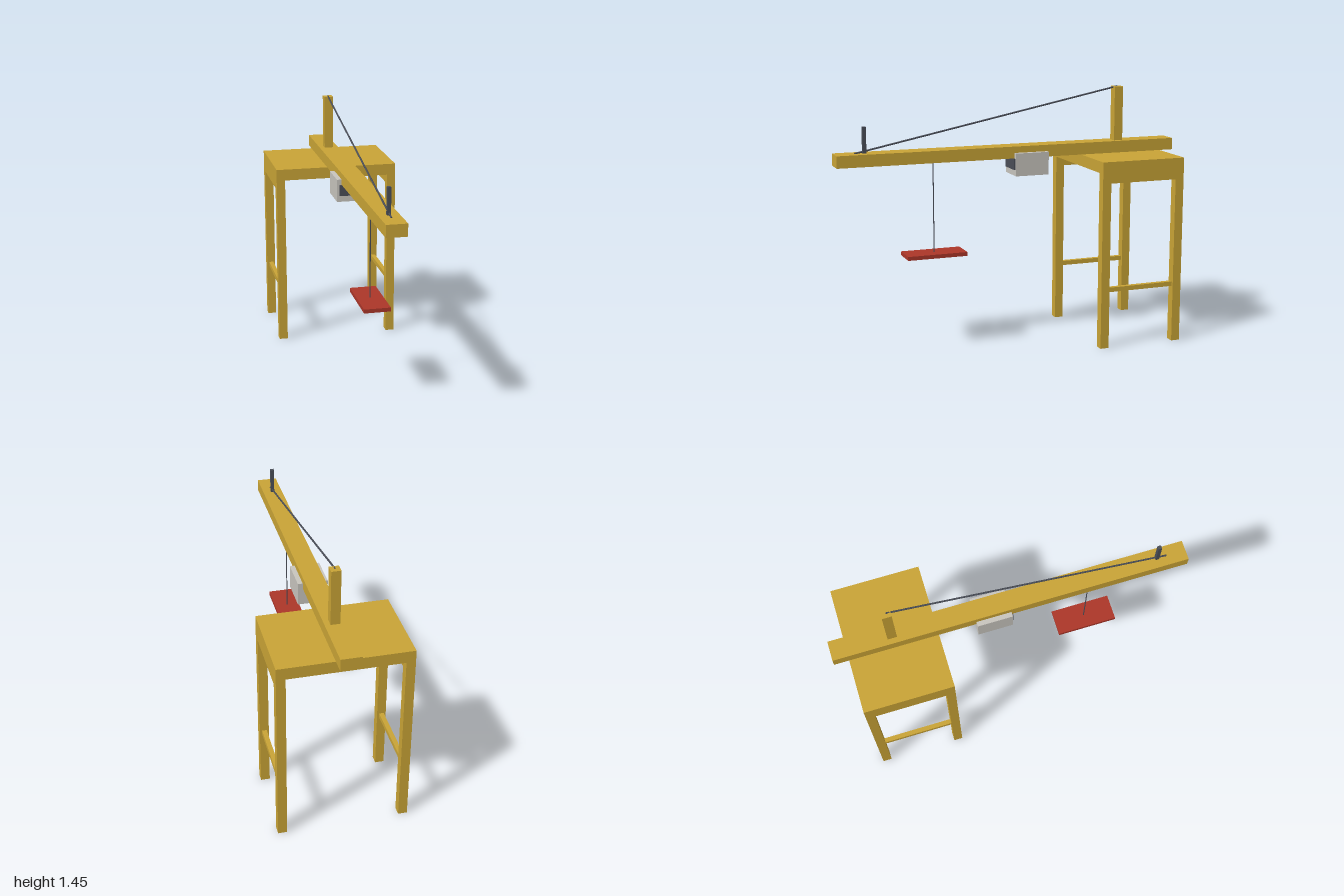
import * as THREE from 'three';

export function createModel() {
  const model = new THREE.Group();
  model.name = 'swingFrame';

  const material = (name, color) => {
    const m = new THREE.MeshStandardMaterial({ color });
    m.name = name;
    return m;
  };
  const wood = material('yellowWood', 0xc9a436);
  const steel = material('darkSteel', 0x4a4e58);
  const casing = material('paleGrey', 0xc8c5be);
  const red = material('redBoard', 0xac3629);

  // Box given by its extents on each axis
  const box = (name, mat, [x0, x1], [y0, y1], [z0, z1]) => {
    const mesh = new THREE.Mesh(new THREE.BoxGeometry(x1 - x0, y1 - y0, z1 - z0), mat);
    mesh.position.set((x0 + x1) / 2, (y0 + y1) / 2, (z0 + z1) / 2);
    mesh.name = name;
    model.add(mesh);
  };

  // Thin round line between two points
  const line = (name, mat, a, b, radius) => {
    const start = new THREE.Vector3(...a), end = new THREE.Vector3(...b);
    const dir = end.clone().sub(start);
    const mesh = new THREE.Mesh(new THREE.CylinderGeometry(radius, radius, dir.length(), 8), mat);
    mesh.position.copy(start).add(end).multiplyScalar(0.5);
    mesh.quaternion.setFromUnitVectors(new THREE.Vector3(0, 1, 0), dir.normalize());
    mesh.name = name;
    model.add(mesh);
  };

  // Table top, legs, side rails and rungs
  box('tableTop', wood, [-0.36, 0.36], [1.003, 1.069], [-0.917, -0.418]);
  for (const [side, s] of [['left', 1], ['right', -1]]) {
    const across = (a, b) => (s > 0 ? [a, b] : [-b, -a]);
    box(side + 'FrontLeg', wood, across(0.31, 0.36), [0, 1.003], [-0.468, -0.418]);
    box(side + 'BackLeg', wood, across(0.31, 0.36), [0, 1.003], [-0.917, -0.867]);
    box(side + 'Rail', wood, across(0.31, 0.36), [0.948, 1.003], [-0.867, -0.468]);
    box(side + 'Rung', wood, across(0.322, 0.348), [0.324, 0.35], [-0.867, -0.468]);
  }

  // Long boom with its mast
  box('boom', wood, [-0.056, 0.056], [1.069, 1.136], [-1, 1]);
  box('mast', wood, [-0.026, 0.026], [1.136, 1.447], [-0.69, -0.638]);

  // Stay cable and peg at the boom tip
  line('stayCable', steel, [0, 1.136, 0.89], [0, 1.447, -0.664], 0.005);
  box('peg', steel, [-0.01, 0.01], [1.136, 1.28], [0.825, 0.845]);

  // Box under the boom with a dark front panel
  box('hangingCase', casing, [-0.083, 0.083], [0.971, 1.1], [-0.207, -0.01]);
  box('casePanel', steel, [-0.07, 0.07], [1.006, 1.069], [-0.01, -0.002]);

  // Suspended board
  box('swingBoard', red, [-0.073, 0.073], [0.536, 0.558], [0.277, 0.62]);
  line('swingRope', steel, [0, 0.558, 0.449], [0, 1.069, 0.449], 0.003);

  return model;
}
